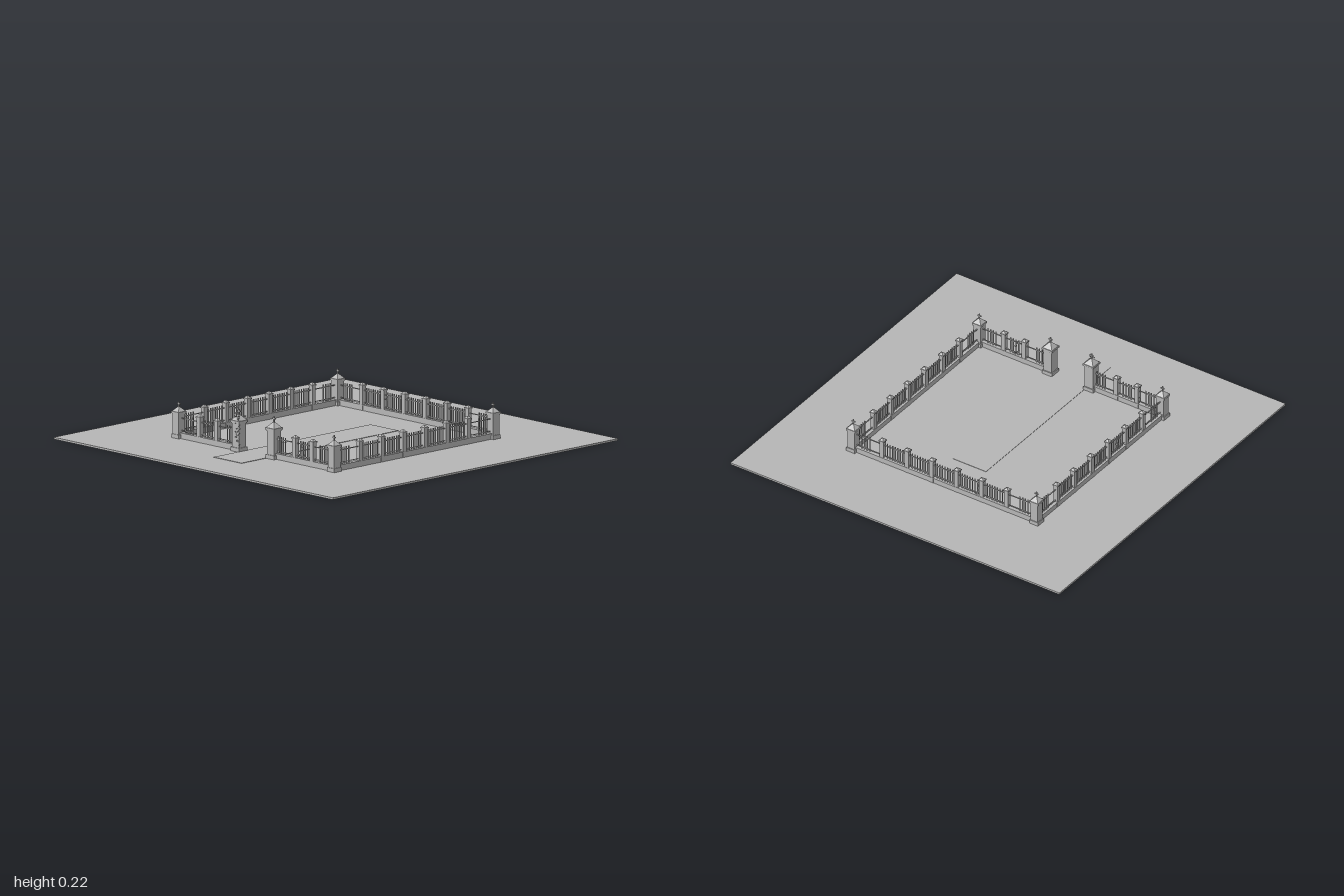
import * as THREE from 'three';

const stone = new THREE.MeshStandardMaterial({ color: 0xb6b6b6 });
stone.name = 'grey stone';
const GROUND = 0.01, EDGE = 0.557;

// Box standing on y0, centred at x, z
function box(parent, name, w, h, d, x, y0, z) {
  const m = new THREE.Mesh(new THREE.BoxGeometry(w, h, d), stone);
  m.name = name;
  m.position.set(x, y0 + h / 2, z);
  parent.add(m);
  return m;
}

// Four-sided roof: square frustum aligned to the axes
function roof(parent, name, bottom, top, h, y0) {
  const g = new THREE.CylinderGeometry(top * Math.SQRT1_2, bottom * Math.SQRT1_2, h, 4).toNonIndexed();
  g.rotateY(Math.PI / 4);
  g.computeVertexNormals();
  const m = new THREE.Mesh(g, stone);
  m.name = name;
  m.position.y = y0 + h / 2;
  parent.add(m);
}

// Large pillar with plinth, cornice, pyramid roof and cross finial
function pillar(name, w, capY, roofH, tip, x, z) {
  const g = new THREE.Group();
  g.name = name;
  g.position.set(x, 0, z);
  box(g, 'plinth', w * 1.2, 0.02, w * 1.2, 0, GROUND, 0);
  box(g, 'shaft', w, capY - GROUND, w, 0, GROUND, 0);
  box(g, 'necking', w * 1.12, 0.006, w * 1.12, 0, capY - 0.006, 0);
  box(g, 'cornice', w * 1.28, 0.01, w * 1.28, 0, capY, 0);
  roof(g, 'pillarRoof', w * 1.15, w * 0.2, roofH, capY + 0.01);
  const top = capY + 0.01 + roofH;
  box(g, 'crossStem', 0.006, tip - top, 0.006, 0, top, 0);
  box(g, 'crossArm', 0.022, 0.006, 0.006, 0, tip - 0.014, 0);
  return g;
}

// Small post between fence panels
function post(parent, x) {
  const g = new THREE.Group();
  g.name = 'fencePost';
  g.position.x = x;
  box(g, 'postShaft', 0.024, 0.125, 0.024, 0, GROUND, 0);
  box(g, 'postCap', 0.031, 0.006, 0.031, 0, 0.135, 0);
  roof(g, 'postRoof', 0.026, 0.008, 0.01, 0.141);
  parent.add(g);
}

// Straight fence along local x: low wall, rail, posts and bar groups [start, end, count]
function fence(name, x0, x1, posts, bars) {
  const g = new THREE.Group();
  g.name = name;
  const len = x1 - x0, mid = (x0 + x1) / 2;
  box(g, 'lowWall', len, 0.026, 0.022, mid, GROUND, 0);
  box(g, 'wallCoping', len, 0.005, 0.027, mid, 0.035, 0);
  box(g, 'topRail', len, 0.004, 0.005, mid, 0.111, 0);
  box(g, 'bottomRail', len, 0.003, 0.005, mid, 0.048, 0);
  posts.forEach((x) => post(g, x));
  for (const [a, b, n] of bars) {
    for (let i = 0; i < n; i++) {
      box(g, 'fenceBar', 0.005, 0.087, 0.005, a + ((b - a) * i) / (n - 1), 0.04, 0);
    }
  }
  return g;
}

// Small seeded generator for the ivy
let seed = 7;
const rnd = () => (seed = (seed * 16807) % 2147483647) / 2147483647;

// Patch of climbing ivy leaves inside a box
function ivy(n, x, z, w, d, y0, y1) {
  const g = new THREE.Group();
  g.name = 'ivy';
  for (let i = 0; i < n; i++) {
    const leaf = new THREE.Mesh(new THREE.OctahedronGeometry(0.0045, 0), stone);
    leaf.name = 'ivyLeaf';
    leaf.scale.set(1, 1, 0.5);
    leaf.position.set(x + (rnd() - 0.5) * w, y0 + rnd() * (y1 - y0), z + (rnd() - 0.5) * d);
    leaf.rotation.set(rnd() * 3, rnd() * 3, rnd() * 3);
    g.add(leaf);
  }
  return g;
}

export function createModel() {
  const model = new THREE.Group();
  model.name = 'walledYard';

  // Ground and path through the gate
  box(model, 'ground', 2, GROUND, 2, 0, 0, 0);
  box(model, 'path', 0.2, 0.002, 1.1, 0, GROUND, 0.21);

  // Corner and gate pillars
  for (const sx of [-1, 1]) {
    for (const sz of [-1, 1]) model.add(pillar('cornerPillar', 0.043, 0.136, 0.022, 0.195, sx * EDGE, sz * EDGE));
    model.add(pillar('gatePillar', 0.05, 0.158, 0.026, 0.224, sx * 0.125, EDGE));
  }

  // Back and side fences: seven bays each
  const bay = 1.06 / 7;
  const posts = [-2.5, -1.5, -0.5, 0.5, 1.5, 2.5].map((k) => k * bay);
  const bars = [-2, -1, 0, 1, 2].map((k) => [k * bay - 0.047, k * bay + 0.047, 7]);
  bars.push([-0.505, -0.456, 4], [0.456, 0.505, 4]);
  const back = fence('backFence', -EDGE, EDGE, posts, bars);
  back.position.z = -EDGE;
  model.add(back);
  for (const s of [-1, 1]) {
    const side = fence(s > 0 ? 'leftFence' : 'rightFence', -EDGE, EDGE, posts, bars);
    side.rotation.y = Math.PI / 2;
    side.position.x = s * EDGE;
    model.add(side);
  }

  // Front fences on both sides of the gate
  for (const s of [-1, 1]) {
    const front = fence(s > 0 ? 'frontLeftFence' : 'frontRightFence',
      s > 0 ? 0.13 : -EDGE, s > 0 ? EDGE : -0.13, [0.28 * s, 0.405 * s],
      [[0.16 * s, 0.208 * s, 4], [0.318 * s, 0.367 * s, 4], [0.456 * s, 0.505 * s, 4]]);
    front.position.z = EDGE;
    model.add(front);
  }

  // Ivy on the gate pillar and in a few places along the fences
  model.add(ivy(38, -0.11, 0.582, 0.035, 0.014, 0.04, 0.2));
  model.add(ivy(14, -0.415, 0.555, 0.018, 0.026, 0.045, 0.12));
  model.add(ivy(16, 0.33, 0.557, 0.022, 0.026, 0.04, 0.115));
  model.add(ivy(14, -EDGE, 0.16, 0.026, 0.024, 0.045, 0.12));
  model.add(ivy(12, -0.21, -EDGE, 0.022, 0.026, 0.045, 0.11));
  return model;
}
